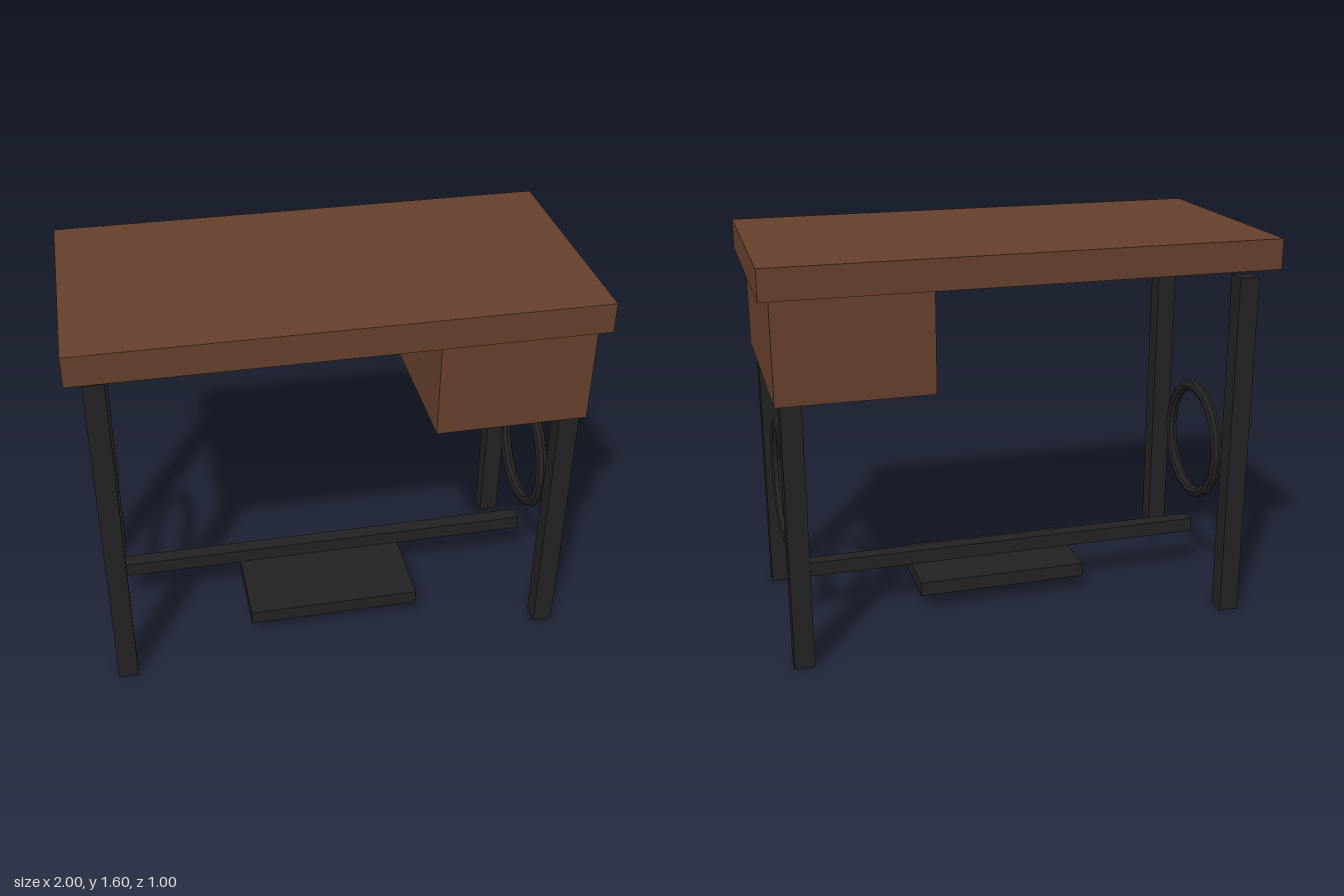
import * as THREE from 'three';

export function createModel() {
  const model = new THREE.Group();
  model.name = 'treadleTable';
  const wood = new THREE.MeshStandardMaterial({ color: 0x65402c });
  wood.name = 'brown wood';
  const iron = new THREE.MeshStandardMaterial({ color: 0x222222 });
  iron.name = 'black iron';
  iron.flatShading = true;

  const add = (name, geometry, material, x, y, z) => {
    const mesh = new THREE.Mesh(geometry, material);
    mesh.name = name;
    mesh.position.set(x, y, z);
    model.add(mesh);
    return mesh;
  };
  const box = (name, material, w, h, d, x, y, z) =>
    add(name, new THREE.BoxGeometry(w, h, d), material, x, y, z);

  // Tabletop and the drawer box hung under its left end
  box('tableTop', wood, 2, 0.12, 1, 0, 1.54, 0);
  box('drawerBox', wood, 0.6, 0.4, 0.92, 0.66, 1.28, 0);

  // Legs and a faceted wheel at each end
  for (const [side, sx] of [['left', 1], ['right', -1]]) {
    for (const [end, sz] of [['Front', 1], ['Back', -1]]) {
      box(`${side}${end}Leg`, iron, 0.08, 1.44, 0.08, sx * 0.9, 0.72, sz * 0.4);
    }
    const wheel = add(`${side}Wheel`, new THREE.TorusGeometry(0.24, 0.024, 8, 16), iron, sx * 0.9, 0.622, 0);
    wheel.rotation.y = Math.PI / 2;
  }

  // Crossbar and foot treadle
  box('crossbar', iron, 1.8, 0.06, 0.06, 0, 0.22, 0);
  box('treadle', iron, 0.72, 0.06, 0.4, 0, 0.1, 0.1);

  return model;
}
